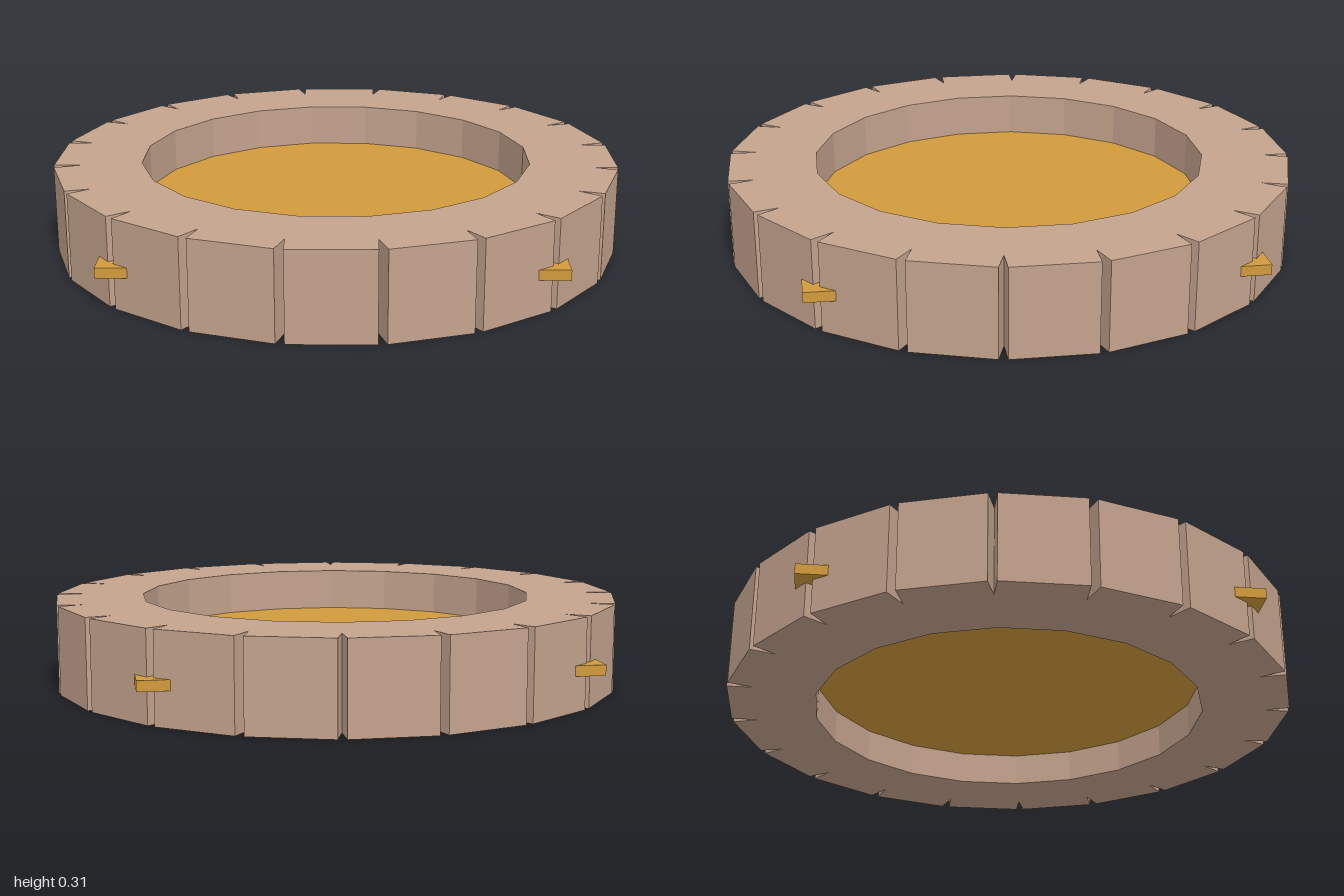
import * as THREE from 'three';

const SIDES = 20;
const HEIGHT = 0.31;
const polar = (r, a) => new THREE.Vector2(r * Math.cos(a), r * Math.sin(a));

export function createModel() {
  const stone = new THREE.MeshStandardMaterial({ color: 0xc4a38d });
  stone.name = 'tan stone';
  const gold = new THREE.MeshStandardMaterial({ color: 0xd29b3c });
  gold.name = 'gold';

  const group = new THREE.Group();
  group.name = 'notchedRing';

  // Twenty-sided outline with a V notch cut into each corner
  const outer = [];
  const inner = [];
  const notch = 0.0145; // half the notch's opening angle
  for (let i = 0; i < SIDES; i++) {
    const a = ((i + 0.5) / SIDES) * Math.PI * 2;
    const rim = 1 / Math.cos(Math.PI / SIDES - notch);
    outer.push(polar(rim, a - notch), polar(0.92, a), polar(rim, a + notch));
    inner.push(polar(0.70, a));
  }
  const shape = new THREE.Shape(outer);
  shape.holes.push(new THREE.Path(inner));

  const ringGeometry = new THREE.ExtrudeGeometry(shape, { depth: HEIGHT, bevelEnabled: false });
  ringGeometry.rotateX(-Math.PI / 2);
  const ring = new THREE.Mesh(ringGeometry, stone);
  ring.name = 'ring';
  group.add(ring);

  // Square slab that closes the opening, its corners poking through the ring
  const slab = new THREE.Mesh(new THREE.BoxGeometry(1.52, 0.036, 1.52), gold);
  slab.name = 'floorSlab';
  slab.position.y = 0.138;
  group.add(slab);

  return group;
}
